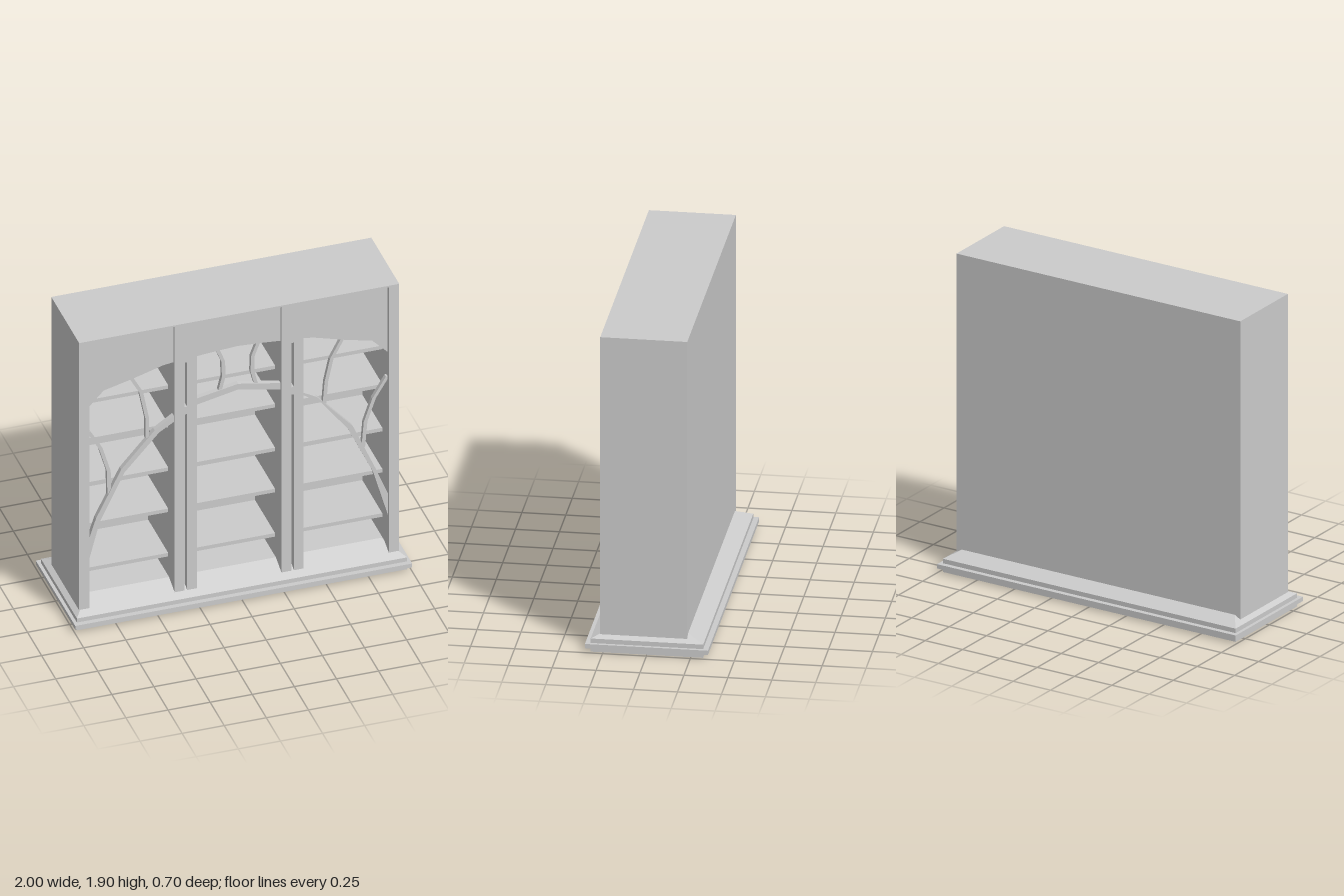
import * as THREE from 'three';

export function createModel() {
  const group = new THREE.Group();
  const mat = new THREE.MeshStandardMaterial({ color: 0xcccccc, flatShading: true });

  const add = (name, geometry) => {
    const mesh = new THREE.Mesh(geometry, mat);
    mesh.name = name;
    group.add(mesh);
    return mesh;
  };

  // Box given by its limits on each axis
  const block = (name, x0, x1, y0, y1, z0, z1) => {
    const mesh = add(name, new THREE.BoxGeometry(x1 - x0, y1 - y0, z1 - z0));
    mesh.position.set((x0 + x1) / 2, (y0 + y1) / 2, (z0 + z1) / 2);
  };

  const outline = (pts) => pts.map(([x, y]) => new THREE.Vector2(x, y));

  // Flat board cut to an outline, optionally with holes
  const board = (name, pts, z0, z1, holes = []) => {
    const shape = new THREE.Shape(outline(pts));
    holes.forEach((h) => shape.holes.push(new THREE.Path(outline(h))));
    const mesh = add(name, new THREE.ExtrudeGeometry(shape, { depth: z1 - z0, bevelEnabled: false }));
    mesh.position.z = z0;
  };

  const rect = (x0, x1, y0, y1) => [[x0, y0], [x1, y0], [x1, y1], [x0, y1]];
  const mirror = (pts) => pts.map(([x, y]) => [-x, y]).reverse();

  // Stepped plinth
  block('plinthFoot', -0.98, 0.98, 0, 0.03, -0.32, 0.32);
  block('plinthRim', -1, 1, 0.027, 0.053, -0.35, 0.35);
  block('plinthTop', -0.98, 0.98, 0.05, 0.08, -0.32, 0.32);

  // Sloping floor: a box whose upper face is drawn in
  const floor = new THREE.BoxGeometry(1.96, 0.06, 0.64);
  const p = floor.attributes.position;
  for (let i = 0; i < p.count; i++) {
    if (p.getY(i) > 0) p.setXYZ(i, Math.sign(p.getX(i)) * 0.875, p.getY(i), Math.sign(p.getZ(i)) * 0.17);
  }
  floor.computeVertexNormals();
  add('slopedFloor', floor).position.y = 0.11;

  // Carcass
  const back = -0.225, front = 0.27, top = 1.905;
  for (const s of [-1, 1]) {
    block('sidePanel', Math.min(s * 0.888, s * 0.95), Math.max(s * 0.888, s * 0.95), 0.08, top, back, front);
  }
  block('backPanel', -0.888, 0.888, 0.08, top, back, -0.2);
  block('topPanel', -0.888, 0.888, 1.895, top, -0.2, front);

  // Dividers with grooved posts in front
  for (const s of [-1, 1]) {
    const c = s * 0.317;
    block('divider', c - 0.066, c + 0.066, 0.08, 1.895, -0.2, 0.23);
    board('groovedPost', rect(c - 0.066, c + 0.066, 0.07, 1.895), 0.23, front, [
      rect(c - 0.008, c + 0.008, 0.08, 1.29),
      rect(c - 0.008, c + 0.008, 1.34, 1.64),
    ]);
  }

  // Shelves in the three bays
  const bays = [[-0.888, -0.383], [-0.251, 0.251], [0.383, 0.888]];
  for (const [x0, x1] of bays) {
    for (const y of [0.27, 0.57, 0.848, 1.144, 1.404]) {
      block('shelf', x0, x1, y, y + 0.024, -0.2, 0.155);
    }
  }

  // Valances with an arched lower edge
  const sideValance = [[-0.888, 1.895], [-0.888, 1.445], [-0.797, 1.54], [-0.636, 1.58],
    [-0.444, 1.636], [-0.383, 1.644], [-0.383, 1.895]];
  board('sideValance', sideValance, 0.22, 0.25);
  board('sideValance', mirror(sideValance), 0.22, 0.25);
  board('middleValance', [[-0.251, 1.895], [-0.251, 1.655], [-0.145, 1.664], [0, 1.673],
    [0.145, 1.664], [0.251, 1.655], [0.251, 1.895]], 0.22, 0.25);

  // Large bough crossing the bays
  board('leftBough', [[0.888, 0.345], [0.888, 0.49], [0.813, 0.68], [0.68, 0.99],
    [0.465, 1.233], [0.383, 1.28], [0.37, 1.275], [0.383, 1.263], [0.492, 1.19], [0.652, 0.976],
    [0.8, 0.655]], 0.225, 0.255);
  board('rightBough', [[-0.888, 0.41], [-0.824, 0.655], [-0.674, 0.965], [-0.47, 1.19],
    [-0.383, 1.243], [-0.383, 1.285], [-0.497, 1.21], [-0.695, 0.987], [-0.845, 0.687],
    [-0.888, 0.553]], 0.225, 0.255);
  board('middleBough', [[-0.251, 1.33], [0, 1.382], [0.251, 1.33], [0.251, 1.372],
    [0, 1.42], [-0.251, 1.372]], 0.225, 0.255);

  // Thin twigs: strips of even width along a bent line
  const twigs = [
    [[-0.54, 1.165], [-0.54, 1.3], [-0.575, 1.48], [-0.635, 1.59]],
    [[-0.765, 0.83], [-0.767, 0.987], [-0.815, 1.15], [-0.888, 1.28]],
    [[-0.107, 1.395], [-0.085, 1.484], [-0.088, 1.586], [-0.12, 1.67]],
    [[0.107, 1.395], [0.085, 1.484], [0.088, 1.586], [0.12, 1.67]],
    [[0.513, 1.175], [0.524, 1.32], [0.556, 1.468], [0.62, 1.59]],
    [[0.743, 0.83], [0.757, 1.0], [0.807, 1.147], [0.888, 1.28]],
  ];
  for (const line of twigs) {
    const right = line.map(([x, y]) => [x + 0.011, y]);
    const left = line.map(([x, y]) => [x - 0.011, y]).reverse();
    board('twig', [...right, ...left], 0.225, 0.25);
  }

  return group;
}
